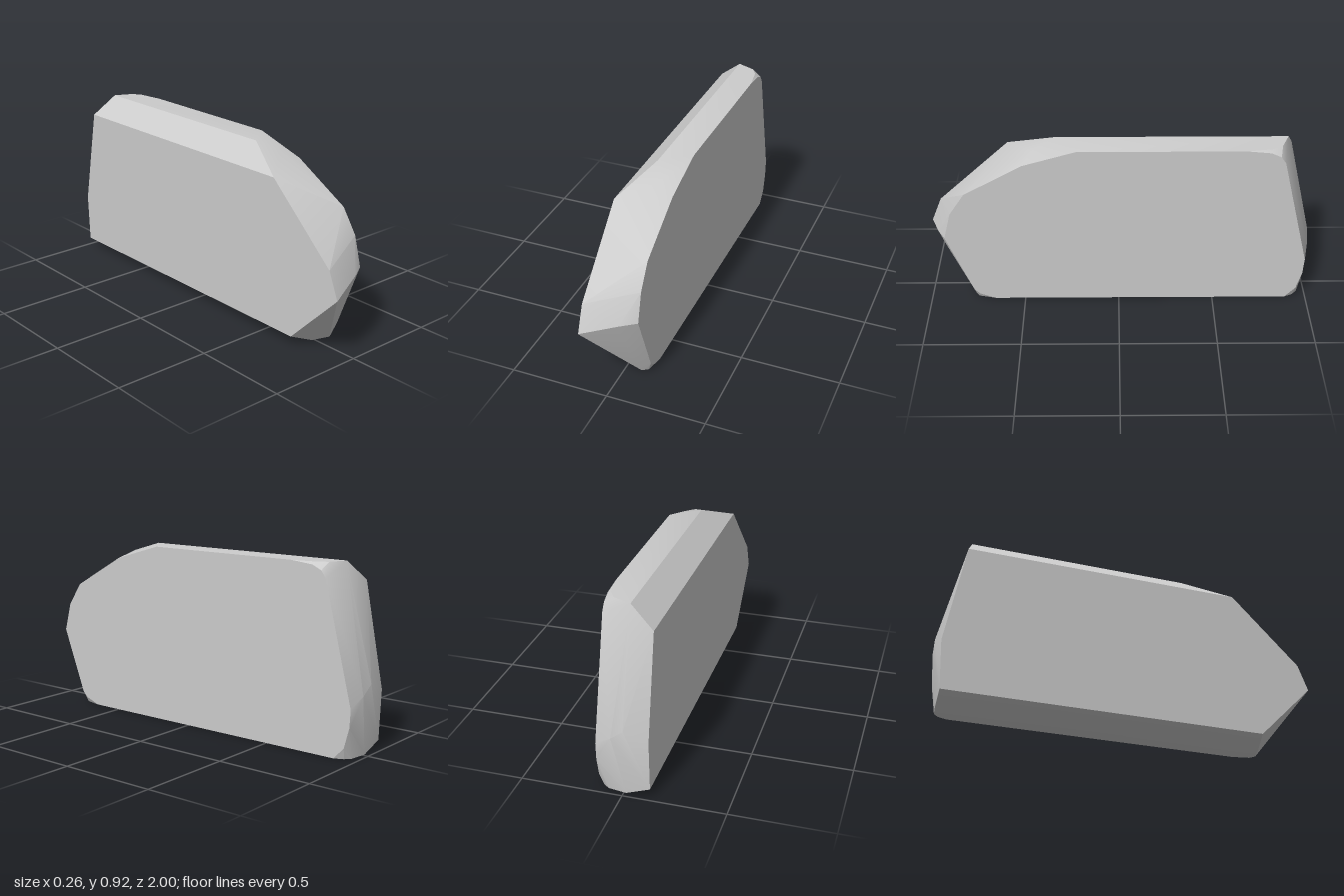
import * as THREE from 'three';
import { ConvexGeometry } from 'three/addons/geometries/ConvexGeometry.js';
import { toCreasedNormals } from 'three/addons/utils/BufferGeometryUtils.js';

// Lengthwise outlines [z, y] of the chipped slab, keyed by their x position
const sections = [
  // chamfered side
  { x: -0.13, outline: [[1, 0.335], [0.945, 0.47], [0.57, 0.82], [-0.89, 0.82],
    [-0.99, 0.3], [-0.98, 0.047], [0.71, 0.047]] },
  // inner edge of the top and bottom chamfers
  { x: -0.012, outline: [[0.32, 0.92], [-0.85, 0.92], [-1, 0.35], [-0.974, 0], [0.74, 0]] },
  // rounded corners and bulging ends
  { x: 0.05, outline: [[0.942, 0.39], [0.9, 0.28], [0.43, 0.88], [-0.82, 0.92], [-0.995, 0.3]] },
  { x: 0.08, outline: [[0.77, 0], [-0.96, 0], [-0.81, 0.92]] },
  { x: 0.11, outline: [[0.75, 0], [-0.935, 0], [-0.76, 0.92]] },
  // broad flat side
  { x: 0.13, outline: [[0.9, 0.4], [0.86, 0.55], [0.78, 0.67], [0.48, 0.84], [0.21, 0.92],
    [-0.63, 0.92], [-0.75, 0.908], [-0.8, 0.885], [-0.825, 0.85], [-0.977, 0.25],
    [-0.972, 0.16], [-0.945, 0.06], [-0.89, 0], [0.66, 0], [0.74, 0.03], [0.77, 0.06]] },
];

export function createModel() {
  const group = new THREE.Group();
  const points = sections.flatMap(({ x, outline }) =>
    outline.map(([z, y]) => new THREE.Vector3(x, y, z)));

  // Convex body with soft facets and crisp main edges
  const geometry = toCreasedNormals(new ConvexGeometry(points), 0.42);
  const slab = new THREE.Mesh(geometry, new THREE.MeshStandardMaterial({ color: 0xcccccc }));
  slab.name = 'stoneSlab';
  group.add(slab);
  return group;
}
